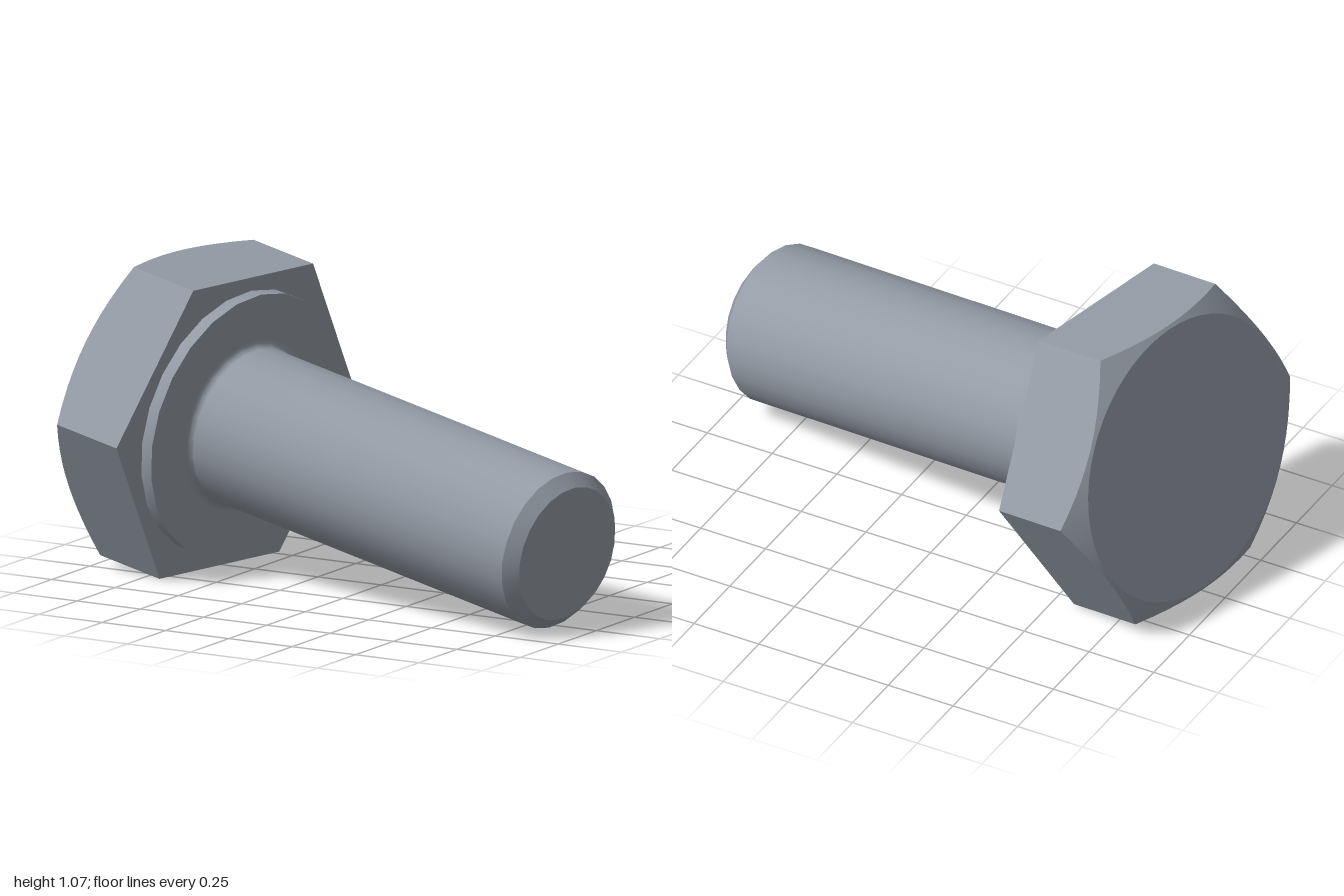
import * as THREE from 'three';
import { toCreasedNormals } from 'three/addons/utils/BufferGeometryUtils.js';

const CREASE = 0.45;
const APOTHEM = 0.516, CAP_RADIUS = 0.505, HEAD = 0.33;

// Hexagonal head below y = 0, its outer end turned to a 30 degree chamfer
function headGeometry() {
  const n = 60, side = Math.PI / 3;
  const positions = [], index = [];
  const hexRadius = (a) => {
    const m = a - side * Math.round(a / side);
    return APOTHEM / Math.cos(m);
  };
  const drop = (r) => (r - CAP_RADIUS) * Math.tan(Math.PI / 6);
  const rings = [
    () => [0, 0],
    (a) => [hexRadius(a), 0],
    (a) => [hexRadius(a), -HEAD + drop(hexRadius(a))],
    () => [CAP_RADIUS, -HEAD],
    () => [0, -HEAD],
  ];
  rings.forEach((ring, j) => {
    for (let i = 0; i < n; i++) {
      const a = (i / n) * Math.PI * 2;
      const [r, y] = ring(a);
      positions.push(r * Math.cos(a), y, r * Math.sin(a));
      if (j === rings.length - 1) continue;
      const p = j * n + i, q = j * n + ((i + 1) % n);
      if (j > 0) index.push(p, q, p + n);
      if (j < rings.length - 2) index.push(q, q + n, p + n);
      if (j === 0) continue;
    }
  });
  const g = new THREE.BufferGeometry();
  g.setAttribute('position', new THREE.Float32BufferAttribute(positions, 3));
  g.setIndex(index);
  return toCreasedNormals(g, CREASE);
}

// Turned part from [radius, height] points
function turned(points) {
  const g = new THREE.LatheGeometry(points.map(([r, y]) => new THREE.Vector2(r, y)), 24);
  return toCreasedNormals(g, CREASE);
}

export function createModel() {
  const steel = new THREE.MeshStandardMaterial({ color: 0x949ba5 });
  steel.name = 'steel grey';

  const bolt = new THREE.Group();
  bolt.name = 'bolt';
  const add = (name, geometry) => {
    const mesh = new THREE.Mesh(geometry, steel);
    mesh.name = name;
    bolt.add(mesh);
  };

  const washerTop = 0.046, R = 0.278, tip = 1.545, fillet = 0.025, chamfer = 0.042;

  add('hexHead', headGeometry());
  add('washerFace', turned([[0.468, 0], [0.468, washerTop], [0.2, washerTop]]));

  // Shank with a fillet at its root and a chamfered tip
  const profile = [];
  for (let k = 0; k <= 4; k++) {
    const a = (k / 4) * Math.PI / 2;
    profile.push([R + fillet * (1 - Math.sin(a)), washerTop + fillet * (1 - Math.cos(a))]);
  }
  profile.push([R, tip - chamfer], [R - chamfer, tip], [0, tip]);
  add('shank', turned(profile));

  // Lay the bolt along its tilted axis, one flat of the head upwards
  const axis = new THREE.Vector3(0.9675, -0.151, 0.203).normalize();
  const up = new THREE.Vector3(0, 1, 0).addScaledVector(axis, -axis.y).normalize();
  const across = new THREE.Vector3().crossVectors(up, axis);
  bolt.quaternion.setFromRotationMatrix(new THREE.Matrix4().makeBasis(up, axis, across));
  bolt.position.set(-0.555, 0.51, 0.028);

  const model = new THREE.Group();
  model.name = 'model';
  model.add(bolt);
  return model;
}
